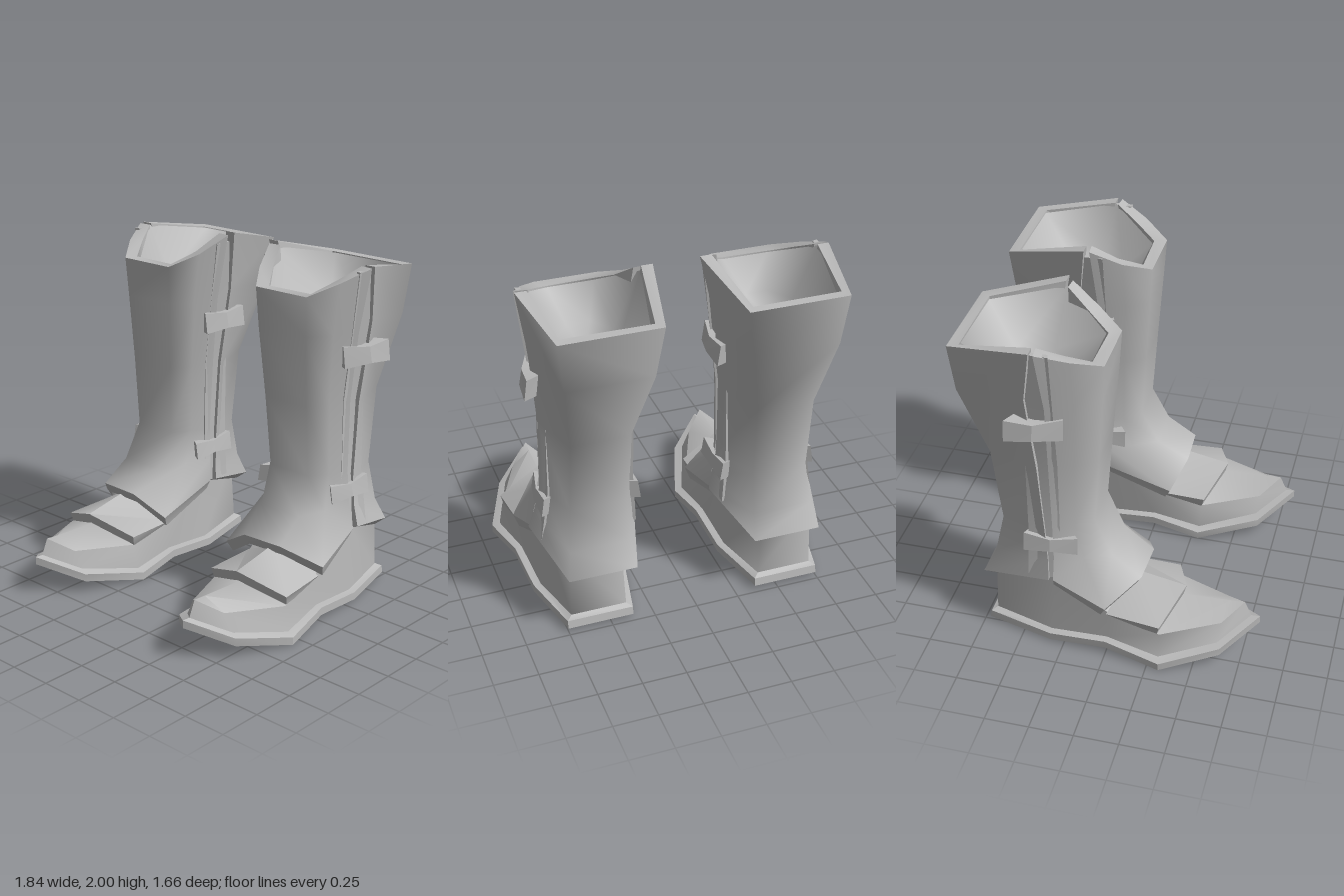
import * as THREE from 'three';
import { mergeGeometries, toCreasedNormals } from 'three/addons/utils/BufferGeometryUtils.js';

const steel = new THREE.MeshStandardMaterial({ color: 0xb9b9b9 });
steel.name = 'grey steel';

const AXIS = [0.55, -0.37]; // x, z of the leg's centre line

// move a point towards the leg axis by t and vertically by dy
function inward([x, y, z], t, dy = 0) {
  const dx = AXIS[0] - x, dz = AXIS[1] - z, l = Math.hypot(dx, dz);
  return [x + dx / l * t, y + dy, z + dz / l * t];
}

// collects faces for one surface; side = -1 mirrors it
class Builder {
  constructor(side) { this.side = side; this.pos = []; }
  tri(a, b, c) {
    const same = (p, q) => p.every((v, i) => Math.abs(v - q[i]) < 1e-6);
    if (same(a, b) || same(b, c) || same(a, c)) return;
    const order = this.side > 0 ? [a, b, c] : [a, c, b];
    for (const [x, y, z] of order) this.pos.push(x * this.side, y, z);
  }
  quad(a, b, c, d) { this.tri(a, b, c); this.tri(a, c, d); }
  // rows listed from top to bottom, either open or closed into rings
  loft(rows, closed = true) {
    const n = rows[0].length;
    for (let r = 0; r < rows.length - 1; r++)
      for (let c = 0; c < (closed ? n : n - 1); c++) {
        const d = (c + 1) % n, A = rows[r], B = rows[r + 1];
        this.quad(A[c], B[c], B[d], A[d]);
      }
    return this;
  }
  geometry(crease) {
    const g = new THREE.BufferGeometry();
    g.setAttribute('position', new THREE.Float32BufferAttribute(this.pos, 3));
    return toCreasedNormals(g, crease);
  }
}

function part(name, ...geometries) {
  const m = new THREE.Mesh(mergeGeometries(geometries), steel);
  m.name = name;
  return m;
}

// a plate with thickness: rows of outer points and a rule for the inner ones
function plate(name, side, rows, offset, crease = 0.9) {
  const inner = rows.map((row, r) => row.map(p => offset(p, r)));
  const face = new Builder(side).loft(rows, false);
  const back = new Builder(side).loft(inner.map(row => [...row].reverse()), false);
  const rim = new Builder(side);
  const last = rows.length - 1, end = rows[0].length - 1;
  for (let c = 0; c < end; c++) {
    rim.quad(rows[0][c], rows[0][c + 1], inner[0][c + 1], inner[0][c]);
    rim.quad(rows[last][c + 1], rows[last][c], inner[last][c], inner[last][c + 1]);
  }
  for (let r = 0; r < last; r++) {
    rim.quad(rows[r][0], inner[r][0], inner[r + 1][0], rows[r + 1][0]);
    rim.quad(inner[r][end], rows[r][end], rows[r + 1][end], inner[r + 1][end]);
  }
  return part(name, face.geometry(crease), back.geometry(crease), rim.geometry(0.6));
}

// one row of the shin plate: seam, flank, corner, corner, flank, seam
function shinRow(seamY, seamX, seamZ, cornerY, cornerX, cornerZ) {
  const flank = i => [
    (seamX[i] + cornerX[i]) / 2 + (i ? 0.015 : -0.015),
    (seamY + cornerY) / 2, (seamZ + cornerZ) / 2 + 0.01];
  return [
    [seamX[0], seamY, seamZ], flank(0), [cornerX[0], cornerY, cornerZ],
    [cornerX[1], cornerY, cornerZ], flank(1), [seamX[1], seamY, seamZ]];
}

function shinPlate(side) {
  const rows = [
    shinRow(1.955, [0.155, 0.87], -0.34, 1.825, [0.33, 0.68], -0.025),
    shinRow(1.6, [0.21, 0.82], -0.31, 1.6, [0.34, 0.67], -0.04),
    shinRow(1.2, [0.255, 0.77], -0.32, 1.2, [0.37, 0.66], -0.07),
    shinRow(0.79, [0.27, 0.775], -0.31, 0.79, [0.39, 0.66], -0.10),
    shinRow(0.6, [0.255, 0.80], -0.30, 0.58, [0.41, 0.68], 0.0),
    [[0.25, 0.46, -0.29], [0.245, 0.34, 0.11], [0.44, 0.46, 0.18],
      [0.69, 0.46, 0.17], [0.86, 0.33, 0.0], [0.835, 0.46, -0.30]]];
  rows[0][0][1] = 1.985; // inner peak stands a little higher
  return plate('shinPlate', side, rows,
    (p, r) => inward(p, r === 5 ? 0.04 : 0.075, r === 5 ? -0.065 : 0), 1.45);
}

function calfPlate(side) {
  // outer seam, outer corner, inner corner, inner seam
  const row = (sy, sx, sz, cy, cx, cz) => [
    [sx[1], sy, sz], [cx[1], cy, cz], [cx[0], cy, cz], [sx[0], sy, sz]];
  const rows = [
    row(1.96, [0.13, 0.87], -0.365, 1.885, [0.225, 0.785], -0.83),
    row(1.65, [0.2, 0.83], -0.415, 1.6, [0.27, 0.75], -0.81),
    row(1.18, [0.25, 0.785], -0.38, 1.18, [0.36, 0.69], -0.67),
    row(0.74, [0.255, 0.785], -0.35, 0.74, [0.37, 0.69], -0.62),
    row(0.58, [0.24, 0.815], -0.33, 0.5, [0.365, 0.71], -0.67),
    row(0.47, [0.23, 0.85], -0.32, 0.36, [0.35, 0.74], -0.74)];
  rows[0][3][1] = 2;
  return plate('calfPlate', side, rows,
    (p, r) => inward(p, 0.065, r === 5 ? -0.03 : 0), 1.45);
}

// smooth hollow that closes the top of the boot
function lining(side) {
  const rim = [
    [0.37, 1.82, -0.1], [0.63, 1.82, -0.1], [0.81, 1.95, -0.36],
    [0.73, 1.88, -0.77], [0.285, 1.88, -0.77], [0.195, 1.97, -0.36]];
  const ring = (s, y) => rim.map(([x, , z]) => [0.52 + (x - 0.52) * s, y, -0.42 + (z + 0.42) * s]);
  const b = new Builder(side).loft([ring(0, 1.58), ring(0.5, 1.67), rim]);
  return part('lining', b.geometry(1.5));
}

// recessed strip behind the gap between the two leg plates
function seamStrip(side, outer) {
  const xs = outer ? [0.845, 0.81, 0.762, 0.765, 0.81] : [0.175, 0.22, 0.268, 0.275, 0.26];
  const zs = outer ? [-0.27, -0.45] : [-0.45, -0.27];
  const rows = [1.94, 1.62, 1.2, 0.76, 0.46].map((y, i) => zs.map(z => [xs[i], y, z]));
  return plate(outer ? 'outerSeamStrip' : 'innerSeamStrip', side, rows, p => inward(p, 0.03));
}

// bent clasp, wider at both ends; stations run front to back
function clasp(name, side, y, stations, outer) {
  const s = outer ? stations : [...stations].reverse();
  const rows = [1, -1].map(k => s.map(([x, z, h]) => [x - k * (outer ? 0.008 : -0.008), y + k * h, z]));
  return plate(name, side, rows, p => inward(p, 0.08), 0.1);
}

function instepPlate(side) {
  const rows = [
    [[0.31, 0.27, 0], [0.585, 0.42, 0.1], [0.83, 0.27, 0]],
    [[0.31, 0.26, 0.31], [0.585, 0.36, 0.405], [0.86, 0.26, 0.31]]];
  return plate('instepPlate', side, rows,
    ([x, y, z], r) => [x + (0.585 - x) * 0.05, y - (r ? 0.06 : 0.015), z - (r ? 0.015 : 0)]);
}

// loops run: tip, outer side to the heel, inner side back to the toe
const SOLE = [
  [0.585, 0.178, 0.83], [0.79, 0.07, 0.64], [0.92, 0, 0.32], [0.86, 0.04, 0], [0.84, 0.01, -0.33],
  [0.75, 0.02, -0.72], [0.37, 0.02, -0.72], [0.29, 0.01, -0.33], [0.28, 0.04, 0],
  [0.25, 0, 0.29], [0.375, 0.07, 0.64]];
const BASE = [
  [0.585, 0.22, 0.78], [0.755, 0.13, 0.62], [0.875, 0.06, 0.31], [0.82, 0.09, 0], [0.80, 0.06, -0.33],
  [0.72, 0.08, -0.68], [0.40, 0.08, -0.68], [0.33, 0.06, -0.33], [0.32, 0.09, 0],
  [0.295, 0.06, 0.29], [0.42, 0.13, 0.62]];
const WALL = [
  [0.585, 0.31, 0.74], [0.70, 0.23, 0.63], [0.85, 0.205, 0.31], [0.81, 0.27, 0], [0.77, 0.5, -0.3],
  [0.71, 0.45, -0.67], [0.42, 0.45, -0.67], [0.34, 0.5, -0.3], [0.32, 0.27, 0],
  [0.325, 0.205, 0.3], [0.47, 0.23, 0.63]];

function sole(side) {
  const b = new Builder(side);
  const top = SOLE.map(([x, y, z]) => [x, y + 0.045, z + (z < -0.5 ? 0.01 : 0)]);
  b.loft([BASE, top, SOLE]);
  for (let k = 0; k < 5; k++)
    b.quad(SOLE[(11 - k) % 11], SOLE[10 - k], SOLE[k + 1], SOLE[k]);
  return part('sole', b.geometry(0.5));
}

function foot(side) {
  // ridge along the top of the foot, from the toe to the heel
  const ridge = [[0.31, 0.74], [0.305, 0.66], [0.295, 0.4], [0.38, 0.1], [0.5, -0.25], [0.47, -0.6]];
  const top = WALL.map((_, k) => {
    const [y, z] = ridge[k < 6 ? k : 11 - k];
    return [0.585, y, z];
  });
  return part('foot',
    new Builder(side).loft([top, WALL]).geometry(1.2),
    new Builder(side).loft([WALL, BASE]).geometry(1.45));
}

function boot(side) {
  const g = new THREE.Group();
  g.name = side > 0 ? 'leftBoot' : 'rightBoot';
  g.add(
    sole(side), foot(side), instepPlate(side), shinPlate(side), calfPlate(side), lining(side),
    seamStrip(side, true), seamStrip(side, false),
    clasp('upperOuterClasp', side, 1.47, [[0.795, -0.22, 0.06], [0.862, -0.37, 0.045], [0.875, -0.52, 0.06]], true),
    clasp('upperInnerClasp', side, 1.47, [[0.215, -0.22, 0.06], [0.182, -0.37, 0.045], [0.19, -0.52, 0.06]], false),
    clasp('lowerOuterClasp', side, 0.68, [[0.775, -0.17, 0.05], [0.805, -0.32, 0.035], [0.80, -0.47, 0.055]], true),
    clasp('lowerInnerClasp', side, 0.68, [[0.245, -0.17, 0.05], [0.238, -0.32, 0.035], [0.245, -0.47, 0.055]], false));
  return g;
}

export function createModel() {
  const model = new THREE.Group();
  model.name = 'armouredBoots';
  model.add(boot(1), boot(-1));
  return model;
}
